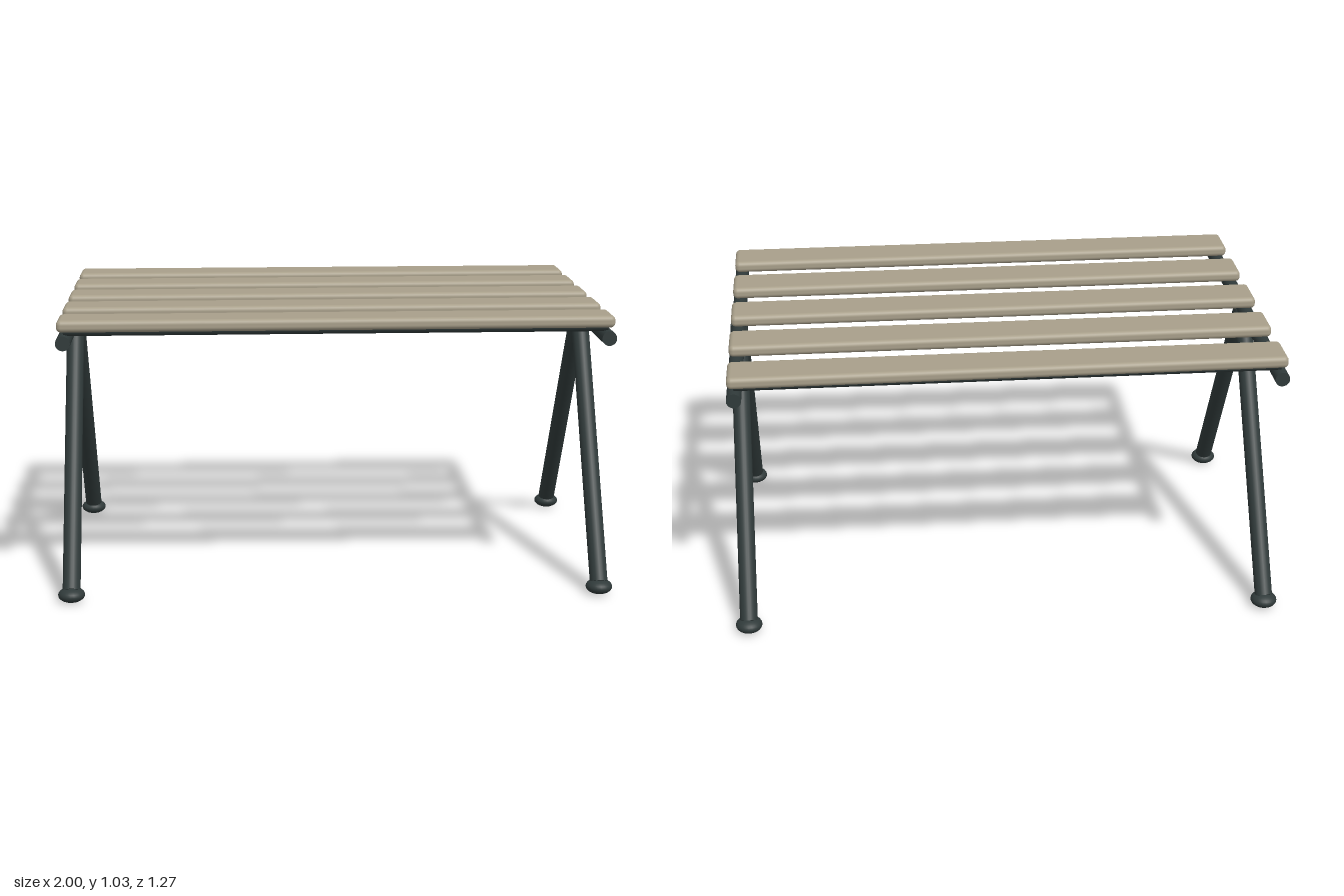
import * as THREE from 'three';
import { RoundedBoxGeometry } from 'three/addons/geometries/RoundedBoxGeometry.js';

export function createModel() {
  const wood = new THREE.MeshStandardMaterial({ color: 0xa89f8a });
  wood.name = 'weatheredWood';
  const steel = new THREE.MeshStandardMaterial({ color: 0x303a3a });
  steel.name = 'darkSteel';

  const model = new THREE.Group();
  model.name = 'slattedBench';

  const add = (name, geometry, material, parent = model) => {
    const mesh = new THREE.Mesh(geometry, material);
    mesh.name = name;
    parent.add(mesh);
    return mesh;
  };

  // Straight round bar between two points
  const bar = (name, a, b, radius, parent) => {
    const from = new THREE.Vector3(...a), to = new THREE.Vector3(...b);
    const dir = to.clone().sub(from);
    const mesh = add(name, new THREE.CylinderGeometry(radius, radius, dir.length(), 24), steel, parent);
    mesh.position.copy(from).add(to).multiplyScalar(0.5);
    mesh.quaternion.setFromUnitVectors(new THREE.Vector3(0, 1, 0), dir.normalize());
    return mesh;
  };

  // Five seat slats with rounded edges
  for (let i = -2; i <= 2; i++) {
    add('slat', new RoundedBoxGeometry(1.95, 0.043, 0.157, 4, 0.017), wood)
      .position.set(0, 1.004, i * 0.2725);
  }

  // Cross bars under the outermost slats
  for (const z of [-0.59, 0.59]) {
    bar('crossBar', [-0.952, 0.988, z], [0.952, 0.988, z], 0.021);
  }

  // Side frames: rail, two splayed legs and their feet
  for (const [side, x] of [['left', 0.952], ['right', -0.952]]) {
    const frame = new THREE.Group();
    frame.name = side + 'Frame';
    model.add(frame);
    bar('sideRail', [x, 0.948, -0.636], [x, 0.948, 0.636], 0.026, frame);
    bar('frontLeg', [x, 0.04, 0.585], [x, 0.94, 0.042], 0.032, frame);
    bar('backLeg', [x, 0.04, -0.585], [x, 0.94, 0.035], 0.032, frame);
    for (const z of [-0.588, 0.59]) {
      const foot = add('foot', new THREE.SphereGeometry(1, 24, 16), steel, frame);
      foot.scale.set(0.048, 0.027, 0.048);
      foot.position.set(x, 0.027, z);
    }
  }
  return model;
}
